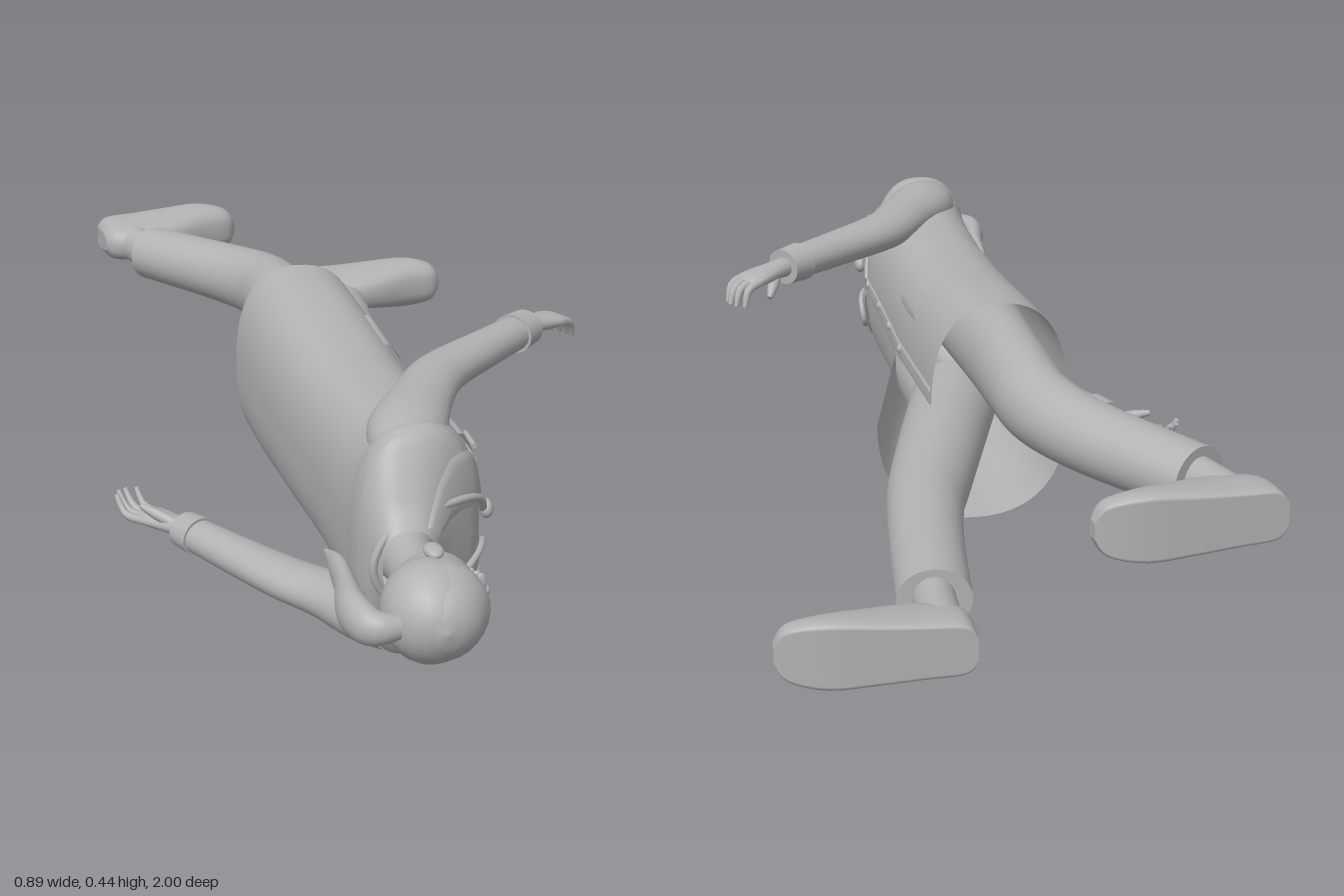
import * as THREE from 'three';

const SEG = 28;
const grey = new THREE.MeshStandardMaterial({ color: 0xb2b2b2, side: THREE.DoubleSide });
grey.name = 'plain grey';

// Skin over rows of points; caps get their own rim so edges stay sharp
function loft(rows, closed = true, caps = true) {
  if (closed && caps) {
    const hub = r => {
      const c = r.reduce((s, p) => s.add(p), new THREE.Vector3()).divideScalar(r.length);
      return r.map(() => c.clone());
    };
    const a = rows[0], z = rows[rows.length - 1];
    rows = [hub(a), a, ...rows, z, hub(z)];
  }
  const n = rows[0].length, pos = [], idx = [];
  rows.forEach(r => r.forEach(p => pos.push(p.x, p.y, p.z)));
  for (let i = 0; i < rows.length - 1; i++) {
    for (let j = 0; j < (closed ? n : n - 1); j++) {
      const k = (j + 1) % n, a = i * n + j, b = i * n + k;
      idx.push(a, b, b + n, a, b + n, a + n);
    }
  }
  const g = new THREE.BufferGeometry();
  g.setAttribute('position', new THREE.Float32BufferAttribute(pos, 3));
  g.setIndex(idx);
  g.computeVertexNormals();
  return g;
}

// Smooth in-between values of a list of equally long number lists
function spline(pts, steps) {
  const out = [], last = pts.length - 1;
  for (let i = 0; i <= last * steps; i++) {
    const k = Math.min(Math.floor(i / steps), last - 1), t = i / steps - k;
    const [a, b, c, d] = [k - 1, k, k + 1, k + 2].map(q => pts[Math.max(0, Math.min(last, q))]);
    out.push(b.map((v, m) => v + 0.5 * t * (c[m] - a[m] + t * (2 * a[m] - 5 * v + 4 * c[m] - d[m]
      + t * (3 * (v - c[m]) + d[m] - a[m])))));
  }
  return out;
}

// Rounded limb along points [x, y, z, depth radius, side radius]
function limb(pts, seg = SEG, steps = 5) {
  const s = spline(pts, steps), side = new THREE.Vector3(0, 1, 0);
  const at = i => new THREE.Vector3(...s[Math.max(0, Math.min(s.length - 1, i))].slice(0, 3));
  return loft(s.map((p, i) => {
    const t = at(i + 1).sub(at(i - 1)).normalize();
    const n = side.clone().cross(t).normalize(), b = t.clone().cross(n);
    return Array.from({ length: seg }, (_, j) => {
      const a = j / seg * Math.PI * 2;
      return at(i).addScaledVector(n, p[3] * Math.cos(a)).addScaledVector(b, p[4] * Math.sin(a));
    });
  }));
}

// Coat outline rows: z, back x, front x, low y, high y, half angle of the front slit
const COAT = [
  [-0.235, -0.165, 0.09, 0.012, 0.43, 0.045], [-0.1, -0.158, 0.1, 0.02, 0.42, 0.04],
  [0, -0.15, 0.105, 0.03, 0.41, 0.02], [0.06, -0.146, 0.108, 0.036, 0.404, 0],
  [0.2, -0.135, 0.112, 0.045, 0.395, 0], [0.35, -0.122, 0.118, 0.045, 0.395, 0],
  [0.5, -0.115, 0.126, 0.04, 0.4, 0], [0.6, -0.11, 0.12, 0.025, 0.415, 0],
  [0.645, -0.11, 0.1, 0.012, 0.43, 0], [0.675, -0.107, 0.07, 0.025, 0.415, 0],
  [0.7, -0.1, 0.045, 0.07, 0.37, 0], [0.725, -0.09, 0.025, 0.125, 0.32, 0],
  [0.75, -0.08, 0.01, 0.16, 0.285, 0]];

// Point on the coat; u runs 0..1 round from the front, out lifts it off the cloth
function coatPoint(u, z, out = 0) {
  let k = 0;
  while (k < COAT.length - 2 && COAT[k + 1][0] < z) k++;
  const f = (z - COAT[k][0]) / (COAT[k + 1][0] - COAT[k][0]);
  const [, x0, x1, y0, y1, gap] = COAT[k].map((v, m) => v + (COAT[k + 1][m] - v) * f);
  const a = gap + u * 2 * (Math.PI - gap), c = Math.cos(a), s = Math.sin(a);
  const pw = v => Math.sign(v) * Math.abs(v) ** 0.8;
  // the low front flap is pushed forward by the stepping leg
  const swing = s < 0 ? 0.1 * Math.max(0, (0.12 - z) / 0.355) * (0.5 + 0.5 * c) : 0;
  return new THREE.Vector3((x0 + x1) / 2 + ((x1 - x0) / 2 + out) * pw(c) + swing,
    (y0 + y1) / 2 + ((y1 - y0) / 2 + out) * pw(s), z);
}

// Strip of cloth lying on the coat, from rows [z, u start, u end]
function patch(rows, out = 0.006) {
  return loft(spline(rows, 4).map(([z, a, b]) => Array.from({ length: 9 },
    (_, j) => coatPoint(a + (b - a) * j / 8, z, j === 0 || j === 8 ? 0.001 : out))), false);
}

function tube(points, r) {
  const c = new THREE.CatmullRomCurve3(points.map(p => new THREE.Vector3(...p)));
  return new THREE.TubeGeometry(c, 32, r, 8);
}

// Shoe pointing along +x with its sole facing -z: [x, half width, bottom, top]
function shoe() {
  const rows = spline([[0, 0.022, 0, 0.09], [0.02, 0.043, 0, 0.115], [0.08, 0.047, 0, 0.13],
    [0.15, 0.052, 0, 0.115], [0.23, 0.057, 0.004, 0.085], [0.29, 0.044, 0.018, 0.068],
    [0.31, 0.014, 0.026, 0.05]], 4);
  return loft(rows.map(([x, w, lo, hi]) => Array.from({ length: SEG }, (_, j) => {
    const a = j / SEG * Math.PI * 2, s = Math.sin(a);
    const h = s > 0 ? lo + 0.02 + (hi - lo - 0.02) * s : lo + 0.02 * (1 - Math.min(1, -s * 2.5));
    return new THREE.Vector3(x, w * Math.sign(Math.cos(a)) * Math.abs(Math.cos(a)) ** 0.7, h);
  })));
}

export function createModel() {
  const model = new THREE.Group();
  const add = (name, geo, x = 0, y = 0, z = 0) => {
    const m = new THREE.Mesh(geo, grey);
    m.name = name;
    m.position.set(x, y, z);
    model.add(m);
    return m;
  };
  const ball = (name, p, r) => add(name, new THREE.SphereGeometry(1, 20, 14), ...p).scale.set(...r);

  // Coat
  const levels = spline(COAT.map(r => [r[0]]), 3).map(r => r[0]);
  add('coat', loft(levels.map(z => Array.from({ length: 65 }, (_, j) => coatPoint(j / 64, z))), false));
  add('frontPlacket', patch([[-0.235, 0, 0.02], [0.1, 0, 0.02], [0.5, 0, 0.02]], 0.004));
  add('breastPocket', patch([[0.45, 0.07, 0.135], [0.565, 0.07, 0.135]], 0.008));
  for (const side of [1, -1]) {
    const u = v => side > 0 ? v : 1 - v;
    const strip = rows => patch(rows.map(([z, a, b]) => side > 0 ? [z, a, b] : [z, u(b), u(a)]));
    add('lapel', strip([[0.5, 0, 0.02], [0.59, 0.01, 0.1], [0.65, 0.03, 0.12], [0.745, 0.06, 0.16]]));
    add('hipPocket', strip([[-0.02, 0.08, 0.16], [0.12, 0.08, 0.16]]));
  }
  for (const z of [0.47, 0.33, 0.2, 0.06]) {
    const p = coatPoint(0.015, z);
    ball('button', [p.x + 0.003, p.y, z], [0.006, 0.009, 0.009]);
  }
  const pen = coatPoint(0.1, 0.57, 0.008);
  for (const d of [-0.015, 0.01]) {
    add('pen', new THREE.CylinderGeometry(0.005, 0.005, 0.06, 8), pen.x, pen.y + d, 0.565).rotation.x = Math.PI / 2;
  }

  // Stethoscope
  add('stethoscopeTube', tube([[0.125, 0.25, 0.61], [0.105, 0.29, 0.65], [0.04, 0.305, 0.7], [-0.06, 0.285, 0.735],
    [-0.095, 0.222, 0.745], [-0.06, 0.155, 0.735], [0.04, 0.135, 0.7], [0.115, 0.12, 0.62]], 0.007));
  add('stethoscopeLoop', tube([[0.07, 0.165, 0.685], [0.11, 0.185, 0.64], [0.132, 0.18, 0.58],
    [0.128, 0.14, 0.56], [0.118, 0.115, 0.6], [0.08, 0.125, 0.67]], 0.006));
  ball('stethoscopeDisc', [0.13, 0.25, 0.607], [0.012, 0.017, 0.017]);

  // Neck and head
  add('neck', limb([[-0.03, 0.2225, 0.66, 0.055, 0.065], [-0.033, 0.2225, 0.74, 0.042, 0.046],
    [-0.03, 0.2225, 0.83, 0.042, 0.046]]));
  add('head', limb([[0.008, 0.2225, 0.775, 0.018, 0.018], [0, 0.2225, 0.79, 0.044, 0.042],
    [-0.012, 0.2225, 0.825, 0.064, 0.061], [-0.024, 0.2225, 0.87, 0.076, 0.074],
    [-0.03, 0.2225, 0.92, 0.083, 0.08], [-0.032, 0.2225, 0.965, 0.063, 0.062],
    [-0.033, 0.2225, 0.99, 0.034, 0.034], [-0.033, 0.2225, 1, 0.003, 0.003]]));
  ball('hairCap', [-0.042, 0.2225, 0.91], [0.077, 0.083, 0.088]);
  add('ponytail', limb([[-0.1, 0.2225, 0.955, 0.02, 0.02], [-0.14, 0.2225, 0.95, 0.026, 0.03],
    [-0.158, 0.2225, 0.89, 0.026, 0.037], [-0.152, 0.2225, 0.8, 0.018, 0.03],
    [-0.15, 0.2225, 0.73, 0.015, 0.024], [-0.157, 0.2225, 0.66, 0.003, 0.003]]));
  ball('nose', [0.053, 0.2225, 0.855], [0.018, 0.011, 0.018]);
  ball('mouth', [0.05, 0.2225, 0.818], [0.007, 0.022, 0.006]);
  for (const s of [1, -1]) {
    ball('eye', [0.041, 0.2225 + s * 0.033, 0.88], [0.01, 0.013, 0.007]);
    ball('eyebrow', [0.043, 0.2225 + s * 0.034, 0.902], [0.009, 0.018, 0.004]);
    ball('ear', [-0.025, 0.2225 + s * 0.08, 0.865], [0.016, 0.01, 0.025]);
  }

  // Arms: sleeve path, then wrist, knuckles and finger tip points
  const arms = [
    { name: 'right', wrist: [0.34, 0.4, 0.125], knuckle: [0.392, 0.395, 0.085], bend: [0.42, 0.385, 0.063], tip: [0.43, 0.355, 0.05],
      thumb: [0.36, 0.36, 0.07],
      sleeve: [[-0.025, 0.375, 0.65, 0.05, 0.045], [0, 0.388, 0.57, 0.068, 0.05], [0.05, 0.398, 0.46, 0.056, 0.04],
        [0.11, 0.4, 0.35, 0.05, 0.037], [0.22, 0.4, 0.24, 0.04, 0.034], [0.325, 0.4, 0.14, 0.034, 0.031]] },
    { name: 'left', wrist: [-0.33, 0.045, 0.13], knuckle: [-0.375, 0.042, 0.065], bend: [-0.41, 0.045, 0.03], tip: [-0.428, 0.078, 0.005],
      thumb: [-0.4, 0.075, 0.085],
      sleeve: [[-0.03, 0.065, 0.65, 0.05, 0.045], [-0.06, 0.054, 0.57, 0.065, 0.05], [-0.115, 0.046, 0.47, 0.054, 0.04],
        [-0.175, 0.045, 0.39, 0.05, 0.036], [-0.25, 0.045, 0.27, 0.041, 0.034], [-0.322, 0.045, 0.145, 0.034, 0.031]] }];
  for (const { name, wrist, knuckle, bend, tip, thumb, sleeve } of arms) {
    add(name + 'Sleeve', limb(sleeve));
    const end = sleeve[5], prev = sleeve[4], mix = t => end.slice(0, 3).map((v, i) => v + (prev[i] - v) * t);
    add(name + 'Cuff', limb([[...mix(0.3), 0.041, 0.037], [...mix(-0.03), 0.037, 0.034]]));
    add(name + 'Palm', limb([[...mix(0.1), 0.022, 0.02], [...wrist, 0.022, 0.018],
      [...knuckle, 0.034, 0.014], [...bend.map((v, i) => (v + knuckle[i]) / 2), 0.026, 0.008]], 16));
    const dx = knuckle[0] - wrist[0], dz = knuckle[2] - wrist[2], l = Math.hypot(dx, dz);
    for (let i = 0; i < 4; i++) {
      const o = (i - 1.5) * 0.0165, short = i % 3 ? 1 : 0.85;
      const p = (q, r) => [knuckle[0] + (q[0] - knuckle[0]) * short - dz / l * o, q[1],
        knuckle[2] + (q[2] - knuckle[2]) * short + dx / l * o, r, r];
      add(name + 'Finger', limb([p(knuckle, 0.009), p(bend, 0.008), p(tip, 0.005)], 8, 4));
    }
    add(name + 'Thumb', limb([[...wrist, 0.012, 0.012],
      [...thumb.map((v, i) => v * 0.6 + wrist[i] * 0.4), 0.011, 0.011], [...thumb, 0.005, 0.005]], 8, 4));
  }

  // Legs in mid stride
  const legs = [
    { name: 'right', heel: [-0.372, 0.304, -0.945], turn: 0.14,
      ankle: [[-0.262, 0.303, -0.77, 0.036, 0.04], [-0.295, 0.303, -0.86, 0.038, 0.04], [-0.31, 0.303, -0.91, 0.042, 0.042]],
      trouser: [[-0.03, 0.31, 0.08, 0.085, 0.08], [-0.045, 0.32, -0.2, 0.068, 0.084], [-0.055, 0.32, -0.35, 0.066, 0.078],
        [-0.072, 0.315, -0.47, 0.065, 0.07], [-0.135, 0.308, -0.6, 0.064, 0.063], [-0.268, 0.303, -0.787, 0.06, 0.057]] },
    { name: 'left', heel: [0.122, 0.137, -1], turn: 0,
      ankle: [[0.165, 0.137, -0.78, 0.036, 0.04], [0.167, 0.137, -0.88, 0.036, 0.04], [0.167, 0.137, -0.93, 0.042, 0.042]],
      trouser: [[0, 0.13, 0.08, 0.085, 0.08], [0.06, 0.13, -0.15, 0.08, 0.076], [0.11, 0.13, -0.35, 0.074, 0.068],
        [0.13, 0.133, -0.45, 0.068, 0.064], [0.148, 0.135, -0.6, 0.064, 0.058], [0.165, 0.137, -0.82, 0.062, 0.053]] }];
  for (const { name, heel, turn, ankle, trouser } of legs) {
    add(name + 'TrouserLeg', limb(trouser));
    add(name + 'Ankle', limb(ankle));
    add(name + 'Shoe', shoe(), ...heel).rotation.y = turn;
  }
  return model;
}
